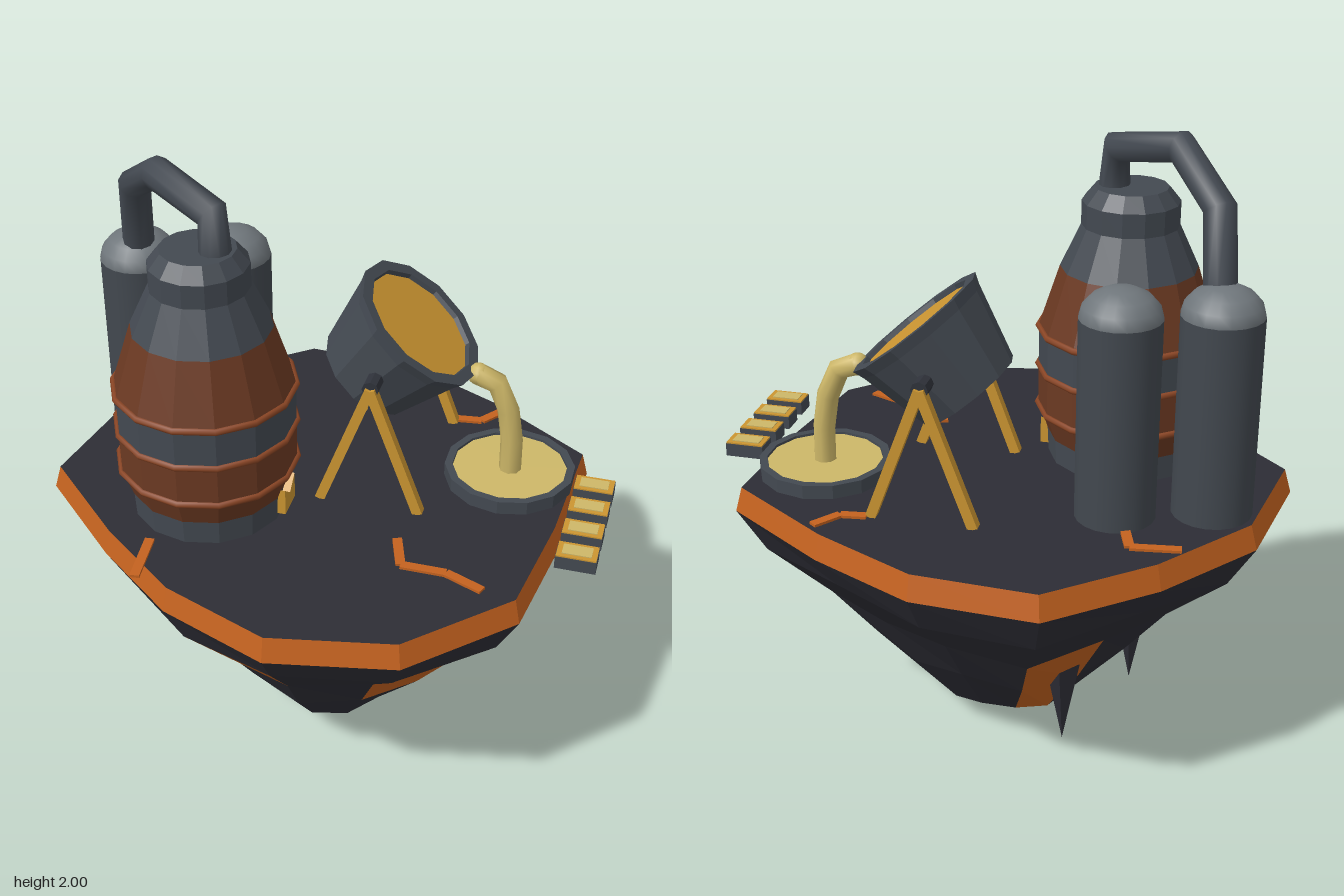
import * as THREE from 'three';

const mat = (name, color, side = THREE.FrontSide) => {
  const m = new THREE.MeshStandardMaterial({ color, side });
  m.name = name;
  return m;
};

// Faceted look through split normals
const flat = (g) => {
  const f = g.index ? g.toNonIndexed() : g;
  f.computeVertexNormals();
  return f;
};

// Curve that keeps the corners of its points
class Polyline extends THREE.Curve {
  constructor(points) {
    super();
    this.points = points.map((p) => new THREE.Vector3(...p));
  }
  getPoint(t, target = new THREE.Vector3()) {
    const s = t * (this.points.length - 1);
    const i = Math.min(Math.floor(s), this.points.length - 2);
    return target.lerpVectors(this.points[i], this.points[i + 1], s - i);
  }
  getPointAt(u, target) { return this.getPoint(u, target); }
  getTangentAt(u, target) { return this.getTangent(u, target); }
}

export function createModel() {
  const model = new THREE.Group();
  model.name = 'floatingFoundry';

  const rock = mat('rock', 0x2d2d35);
  const ember = mat('emberOrange', 0xc4621f);
  const iron = mat('iron', 0x434951);
  const rust = mat('rust', 0x6b3922);
  const hoop = mat('hoopRust', 0x8a4524);
  const steel = mat('tankSteel', 0x42484f);
  const cap = mat('capGrey', 0x6f767b);
  const gold = mat('gold', 0xcb9531);
  const molten = mat('moltenYellow', 0xcdb768);
  const dark = mat('darkIron', 0x2f323a);

  const add = (name, geometry, material, x = 0, y = 0, z = 0, parent = model) => {
    const m = new THREE.Mesh(geometry, material);
    m.name = name;
    m.position.set(x, y, z);
    parent.add(m);
    return m;
  };
  const lathe = (pts, sides) =>
    flat(new THREE.LatheGeometry(pts.map((p) => new THREE.Vector2(...p)), sides));
  const beam = (name, material, a, b, w, h) => {
    const from = new THREE.Vector3(...a), to = new THREE.Vector3(...b);
    const mid = from.clone().add(to).multiplyScalar(0.5);
    const m = add(name, new THREE.BoxGeometry(w, h, from.distanceTo(to)), material, mid.x, mid.y, mid.z);
    m.lookAt(to);
  };

  // Island: the outline shrinks through rings down to a point
  const outline = [
    [0.755, 0.04], [0.7, 0.42], [0.41, 0.71], [0.02, 0.79], [-0.33, 0.655], [-0.6, 0.445], [-0.895, 0.16],
    [-0.83, -0.245], [-0.59, -0.55], [-0.29, -0.8], [0.1, -0.78], [0.435, -0.62], [0.78, -0.39],
  ];
  const rings = [[0.975, 0.9], [1, 0.82], [0.9, 0.69], [0.67, 0.5], [0.51, 0.315], [0.3, 0.11], [0, 0]];
  const point = (r, i) => {
    const k = i % outline.length, [s, y] = rings[r];
    if (s === 0) return [0.02, 0, -0.055];
    const wobble = r > 1 ? 0.018 * Math.sin(k * 2.3 + r) : 0;
    return [outline[k][0] * s, y + wobble, outline[k][1] * s];
  };
  const glowing = ['2,3', '2,4', '3,0', '3,1', '3,5', '3,8', '4,8', '5,8', '5,12'];
  const faces = { rim: [], patch: [], body: [] };
  outline.forEach((_, i) => {
    faces.body.push(0, 0.9, 0, ...point(0, i + 1), ...point(0, i));
    for (let r = 0; r < rings.length - 1; r++) {
      const list = r === 0 ? faces.rim : glowing.includes(`${r},${i}`) ? faces.patch : faces.body;
      const a = point(r, i), b = point(r, i + 1), c = point(r + 1, i), d = point(r + 1, i + 1);
      list.push(...a, ...b, ...c);
      if (r < rings.length - 2) list.push(...b, ...d, ...c);
    }
  });
  const shell = (list) => {
    const g = new THREE.BufferGeometry();
    g.setAttribute('position', new THREE.Float32BufferAttribute(list, 3));
    return flat(g);
  };
  add('islandRock', shell(faces.body), rock);
  add('islandRim', shell(faces.rim), ember);
  add('islandGlowPatches', shell(faces.patch), ember);

  // Hanging rock spikes
  for (const [x, tip, z] of [[-0.26, 0.09, -0.32], [-0.42, 0.14, 0]]) {
    const g = new THREE.ConeGeometry(0.06, 0.3, 5).rotateX(Math.PI);
    add('rockSpike', flat(g), rock, x, tip + 0.15, z);
  }

  // Glowing cracks on the ground
  const cracks = [
    [[-0.63, -0.445], [-0.48, -0.465], [-0.45, -0.37]],
    [[0.32, -0.47], [0.4, -0.48], [0.46, -0.56]],
    [[0.28, 0.23], [0.32, 0.35], [0.46, 0.35], [0.58, 0.4]],
    [[-0.45, 0.44], [-0.43, 0.62]],
  ];
  for (const c of cracks)
    for (let i = 0; i + 1 < c.length; i++)
      beam('groundCrack', ember, [c[i][0], 0.904, c[i][1]], [c[i + 1][0], 0.904, c[i + 1][1]], 0.03, 0.009);

  // Furnace: stacked bands, hoops and spout
  const furnace = new THREE.Group();
  furnace.name = 'furnace';
  furnace.position.set(-0.345, 0, 0.175);
  model.add(furnace);
  const bands = [
    [iron, [[0.243, 0.9], [0.247, 0.98]]],
    [rust, [[0.247, 0.98], [0.278, 1.07], [0.278, 1.2]]],
    [iron, [[0.278, 1.2], [0.278, 1.34]]],
    [rust, [[0.278, 1.34], [0.215, 1.535]]],
    [iron, [[0.215, 1.535], [0.152, 1.67], [0.152, 1.745], [0.115, 1.79], [0, 1.79]]],
  ];
  for (const [m, pts] of bands) add('furnaceBand', lathe(pts, 14), m, 0, 0, 0, furnace);
  for (const y of [1.07, 1.205, 1.335])
    add('furnaceHoop', new THREE.TorusGeometry(0.279, 0.011, 6, 14).rotateX(Math.PI / 2).rotateY(Math.PI / 2), hoop, 0, y, 0, furnace);
  const spout = new THREE.Shape([[-0.05, 0], [0.05, 0], [0.05, 0.09], [0, 0.05], [-0.05, 0.09]]
    .map((p) => new THREE.Vector2(...p)));
  add('furnaceSpout', new THREE.ExtrudeGeometry(spout, { depth: 0.06, bevelEnabled: false }).rotateY(Math.PI / 2),
    gold, 0.205, 0.92, 0, furnace);

  // Gas tanks with domed caps
  for (const [x, z] of [[-0.68, -0.175], [-0.4, -0.268]]) {
    add('tank', new THREE.CylinderGeometry(0.124, 0.124, 0.635, 20), steel, x, 1.2175, z);
    const dome = new THREE.SphereGeometry(0.124, 20, 4, 0, Math.PI * 2, 0, Math.PI / 2).scale(1, 0.75, 1);
    add('tankDome', dome, cap, x, 1.535, z);
  }

  // Exhaust pipe from furnace to tank
  const pipe = new Polyline([[-0.29, 1.77, 0.18], [-0.295, 1.905, 0.18], [-0.505, 1.95, 0.06],
    [-0.645, 1.825, -0.1], [-0.665, 1.59, -0.145]]);
  add('exhaustPipe', new THREE.TubeGeometry(pipe, 4, 0.05, 10), iron);

  // Tilted crucible with melt
  const crucible = new THREE.Group();
  crucible.name = 'crucible';
  crucible.position.set(0.07, 1.222, -0.19);
  crucible.rotation.z = -0.69;
  model.add(crucible);
  add('crucibleWall', lathe([[0, 0], [0.169, 0], [0.225, 0.235], [0.238, 0.27], [0.2, 0.27], [0.192, 0.24]], 12),
    iron, 0, 0, 0, crucible);
  add('crucibleMelt', new THREE.CircleGeometry(0.196, 12).rotateX(-Math.PI / 2), gold, 0, 0.255, 0, crucible);

  // A-frames and pivots on both sides
  for (const side of [-1, 1]) {
    const z = -0.19 + side * 0.265;
    for (const x of [-0.01, 0.31]) beam('frameLeg', gold, [x, 0.9, z], [0.148, 1.33, z], 0.032, 0.032);
    add('pivot', flat(new THREE.CylinderGeometry(0.027, 0.027, 0.06, 8).rotateX(Math.PI / 2)),
      dark, 0.148, 1.33, -0.19 + side * 0.24);
  }

  // Pouring stream and basin
  const stream = new Polyline([[0.425, 1.275, -0.19], [0.49, 1.25, -0.19], [0.53, 1.16, -0.19],
    [0.548, 1.05, -0.19], [0.55, 0.93, -0.19]]);
  add('pouringStream', new THREE.TubeGeometry(stream, 4, 0.036, 8), molten);
  add('streamStart', new THREE.SphereGeometry(0.036, 8, 6), molten, 0.428, 1.274, -0.19);
  add('basin', lathe([[0.21, 0.9], [0.21, 0.945], [0.185, 0.945], [0.183, 0.92]], 14), iron, 0.548, 0, -0.195);
  add('basinMelt', new THREE.CircleGeometry(0.186, 14).rotateX(-Math.PI / 2).rotateY(Math.PI / 2), molten, 0.548, 0.937, -0.195);

  // Row of ingot moulds
  for (let i = 0; i < 4; i++) {
    const z = -0.153 + i * 0.1175;
    add('ingotMould', new THREE.BoxGeometry(0.125, 0.043, 0.075), iron, 0.8275, 0.9265, z);
    add('ingotEdge', new THREE.BoxGeometry(0.122, 0.005, 0.072), gold, 0.8275, 0.95, z);
    add('ingotTop', new THREE.BoxGeometry(0.09, 0.005, 0.046), molten, 0.8275, 0.953, z);
  }

  return model;
}
